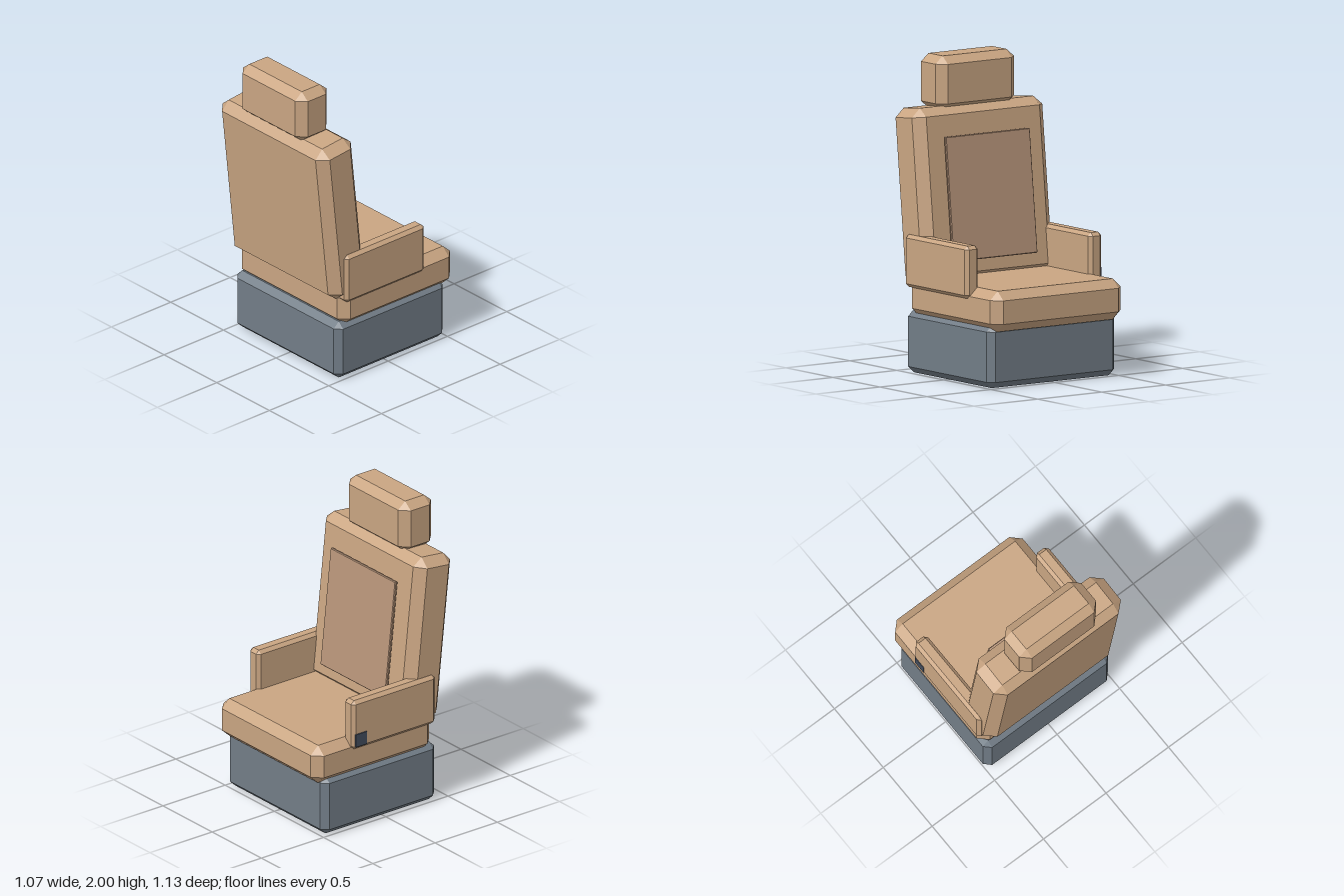
import * as THREE from 'three';
import { ConvexGeometry } from 'three/addons/geometries/ConvexGeometry.js';

const material = (color) =>
  new THREE.MeshStandardMaterial({ color, flatShading: true });

// Box with every edge bevelled; size and bevel are [x, y, z]
function bevelledBox(size, bevel) {
  const points = [];
  const half = size.map((s) => s / 2);
  for (const sx of [-1, 1]) for (const sy of [-1, 1]) for (const sz of [-1, 1]) {
    const sign = [sx, sy, sz];
    for (let axis = 0; axis < 3; axis++) {
      const p = half.map((h, i) => sign[i] * (i === axis ? h : h - bevel[i]));
      points.push(new THREE.Vector3(...p));
    }
  }
  return new ConvexGeometry(points);
}

export function createModel() {
  const group = new THREE.Group();
  const upholstery = material(0xc9a582);
  const panel = material(0xb8957a);
  const plinth = material(0x727d87);
  const dark = material(0x424c5c);
  const recline = 0.106;

  function add(name, mat, size, bevel, position, tilt = 0) {
    const mesh = new THREE.Mesh(bevelledBox(size, bevel), mat);
    mesh.name = name;
    mesh.position.set(...position);
    mesh.rotation.x = tilt;
    group.add(mesh);
  }

  // Plinth and cushion
  add('base', plinth, [1, 0.4, 0.915], [0.042, 0.04, 0.042], [0, 0.2, -0.037]);
  add('seatCushion', upholstery, [1.02, 0.26, 0.952], [0.06, 0.055, 0.06], [0, 0.493, -0.089]);

  // Reclined back with its thin front panel, and the upright headrest
  add('backrest', upholstery, [1.02, 1.115, 0.298], [0.067, 0.056, 0.062], [0, 1.123, 0.36], recline);
  add('backPanel', panel, [0.66, 0.79, 0.021], [0.005, 0.005, 0.005], [0, 1.113, 0.18], recline);
  add('headrest', upholstery, [0.614, 0.348, 0.263], [0.058, 0.048, 0.056], [0, 1.826, 0.429]);

  // Armrests
  for (const side of [1, -1]) {
    add(side > 0 ? 'leftArmrest' : 'rightArmrest', upholstery,
      [0.1, 0.335, 0.67], [0.022, 0.022, 0.024], [side * 0.483, 0.719, 0.046]);
  }

  // Small control set into one armrest
  add('armControl', dark, [0.06, 0.09, 0.09], [0.002, 0.002, 0.002], [-0.507, 0.615, -0.225]);

  return group;
}
